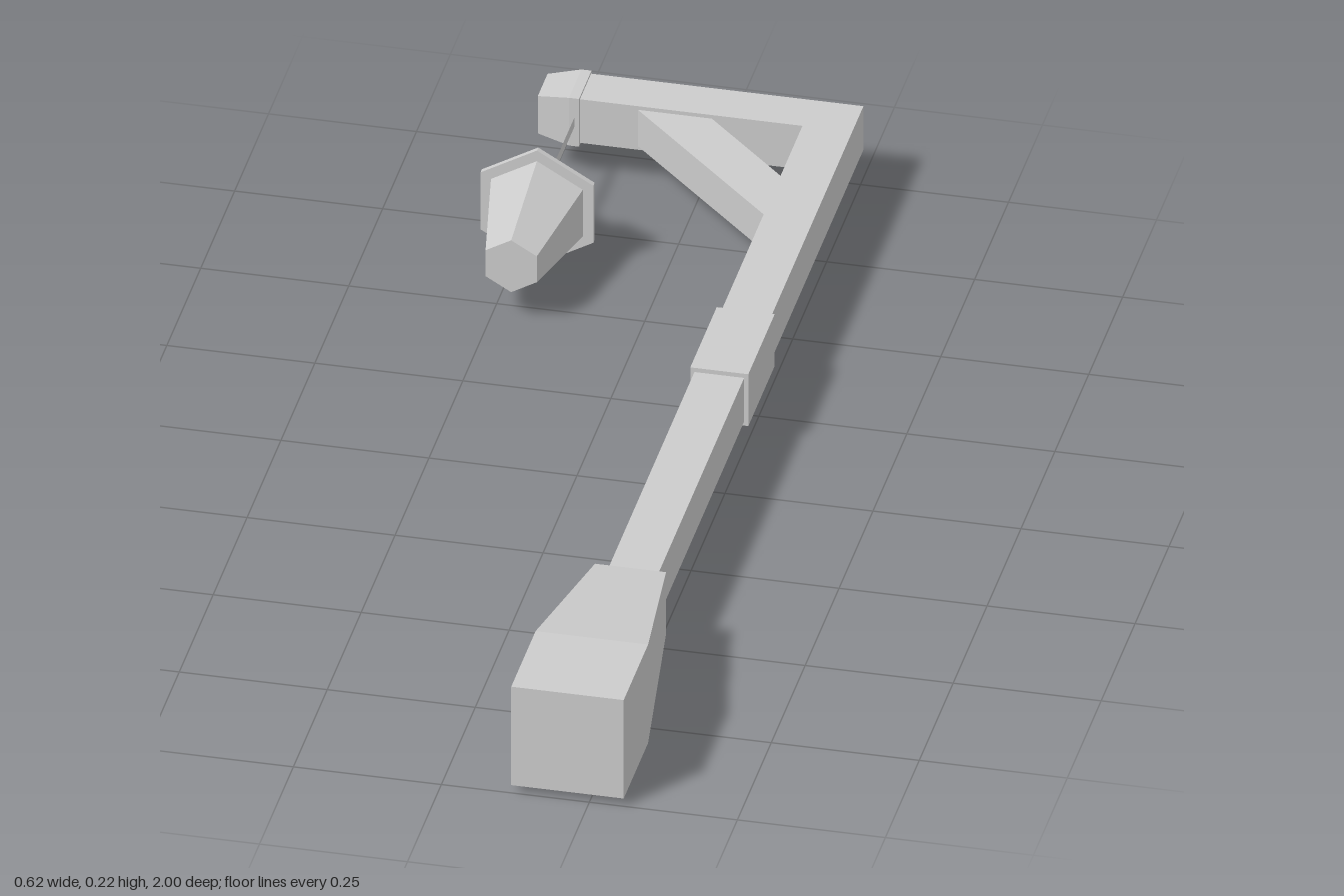
import * as THREE from 'three';

const CY = 0.112;   // height of the lying post's axis
const POST_X = 0.213;
const LAMP_X = -0.213;

export function createModel() {
  const group = new THREE.Group();
  group.name = 'streetLamp';
  const mat = new THREE.MeshStandardMaterial({ color: 0xcccccc, flatShading: true });

  const add = (name, geo, material = mat) => {
    const mesh = new THREE.Mesh(geo, material);
    mesh.name = name;
    group.add(mesh);
    return mesh;
  };

  // Slab from an outline of [x, z] corners, centred on the axis height
  const slab = (corners, half) => {
    const shape = new THREE.Shape(corners.map(([x, z]) => new THREE.Vector2(x, -z)));
    return new THREE.ExtrudeGeometry(shape, { depth: 2 * half, bevelEnabled: false })
      .rotateX(-Math.PI / 2)
      .translate(0, CY - half, 0);
  };

  // Solid turned around the z axis from [radius, z] points, z ascending
  const turned = (points, sides, start = 0) =>
    new THREE.LatheGeometry(points.map(([r, z]) => new THREE.Vector2(r, z)), sides, start)
      .rotateX(Math.PI / 2);

  // Square solid from [half width, z] points
  const square = (points) =>
    turned(points.map(([h, z]) => [h * Math.SQRT2, z]), 4, Math.PI / 4);

  // Post and arm in one L-shaped beam
  add('postAndArm', slab([
    [0.255, 0.54], [0.255, -1], [-0.225, -1], [-0.225, -0.917], [0.171, -0.917], [0.171, 0.54],
  ], 0.042));

  // Diagonal brace between post and arm
  add('brace', slab([
    [-0.11, -0.92], [0.015, -0.92], [0.175, -0.76], [0.175, -0.635],
  ], 0.035));

  // Flared square base
  add('base', square([[0, 0.535], [0.06, 0.535], [0.095, 0.82], [0.095, 1], [0, 1]]))
    .position.set(POST_X, CY, 0);

  // Collar around the post
  const collar = add('collar', new THREE.BoxGeometry(0.098, 0.1, 0.195));
  collar.position.set(POST_X, CY, -0.2175);

  // Chamfered cap on the free end of the arm
  const cap = add('armCap', square([
    [0, -0.277], [0.036, -0.277], [0.046, -0.222], [0.046, -0.205], [0, -0.205],
  ]).rotateY(Math.PI / 2));
  cap.position.set(0, CY, -0.957);

  // Thin flat hanger between arm and lantern
  const hanger = add('hanger', new THREE.PlaneGeometry(0.21, 0.018).rotateY(Math.PI / 2),
    new THREE.MeshStandardMaterial({ color: 0xcccccc, side: THREE.DoubleSide }));
  hanger.position.set(LAMP_X, CY, -0.815);

  // Six-sided lantern: domed top and brim, then the tapering glass
  add('lanternRoof', turned([
    [0, -0.722], [0.022, -0.712], [0.041, -0.69], [0.05, -0.67],
    [0.11, -0.645], [0.11, -0.635], [0, -0.635],
  ], 6)).position.set(LAMP_X, CY, 0);
  add('lanternGlass', turned([
    [0, -0.637], [0.09, -0.637], [0.05, -0.445], [0, -0.445],
  ], 6)).position.set(LAMP_X, CY, 0);

  return group;
}
